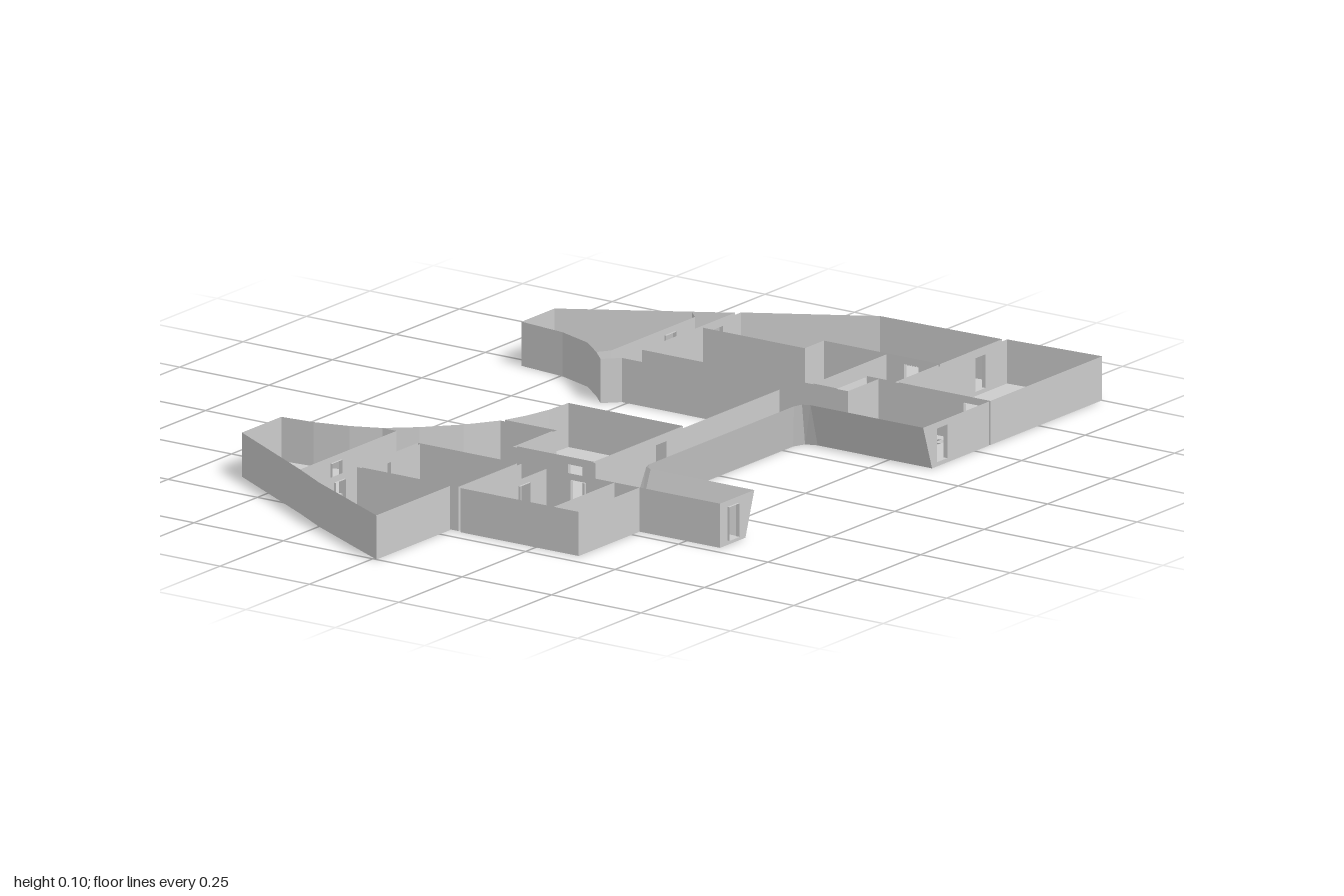
import * as THREE from 'three';
import { mergeGeometries } from 'three/addons/utils/BufferGeometryUtils.js';

const H = 0.105;                        // wall height
const DOOR = { w: 0.04, y0: 0.01, y1: 0.09 };
// door centres on plan (x, z, 1 = passage runs along x)
const doors = [
  [-0.61, -0.245, 0], [-0.78, -0.25, 0], [-0.66, -0.345, 0], [-0.11, 0.17, 0],
  [-0.367, 0.12, 1], [-0.56, 0.11, 0], [-0.47, 0.2, 1], [-0.42, 0.595, 0],
  [0.62, -0.32, 0], [0.72, -0.26, 0], [0.732, 0.28, 1], [0.88, 0.36, 0],
  [0.557, 0.57, 1], [0.37, 0.62, 0],
];

const material = new THREE.MeshStandardMaterial({
  color: 0xcccccc, flatShading: true, side: THREE.DoubleSide,
});

function add(group, name, geometry) {
  const mesh = new THREE.Mesh(geometry, material);
  mesh.name = name;
  group.add(mesh);
}

const rectPath = (x0, y0, x1, y1) => new THREE.Path(
  [[x0, y0], [x0, y1], [x1, y1], [x1, y0]].map(p => new THREE.Vector2(...p)));

const rect = (x0, z0, x1, z1) => [[x0, z0], [x1, z0], [x1, z1], [x0, z1]];

// floor plate from a plan outline
function floorGeometry(points, hole) {
  const shape = new THREE.Shape(points.map(p => new THREE.Vector2(...p)));
  if (hole) shape.holes.push(rectPath(...hole));
  return new THREE.ShapeGeometry(shape).rotateX(Math.PI / 2);
}

// thin upright panel between two plan points, pierced by any door lying on it
function panel([ax, az], [bx, bz]) {
  const dx = bx - ax, dz = bz - az, len = Math.hypot(dx, dz);
  const shape = new THREE.Shape(rectPath(0, 0, len, H).getPoints());
  for (const [x, z] of doors) {
    const along = ((x - ax) * dx + (z - az) * dz) / len;
    const off = Math.abs((x - ax) * dz - (z - az) * dx) / len;
    if (off < 0.012 && along > 0.025 && along < len - 0.025)
      shape.holes.push(rectPath(along - DOOR.w / 2, DOOR.y0, along + DOOR.w / 2, DOOR.y1));
  }
  return new THREE.ShapeGeometry(shape).rotateY(-Math.atan2(dz, dx)).translate(ax, 0, az);
}

function wallGeometry(points, closed) {
  const path = closed ? [...points, points[0]] : points;
  return mergeGeometries(path.slice(1).map((p, i) => panel(path[i], p)));
}

function addRoom(group, name, points, closed = true) {
  const room = new THREE.Group();
  room.name = name;
  add(room, name + 'Floor', floorGeometry(points));
  add(room, name + 'Walls', wallGeometry(points, closed));
  group.add(room);
}

// leaning wall between a bottom path and a top path
function leaningWall(bottom, top) {
  const pos = [], index = [];
  bottom.forEach(([x, z], i) => {
    pos.push(x, 0, z, top[i][0], H, top[i][1]);
    if (i) {
      const a = 2 * i - 2;
      index.push(a, a + 2, a + 1, a + 1, a + 2, a + 3);
    }
  });
  const g = new THREE.BufferGeometry();
  g.setAttribute('position', new THREE.Float32BufferAttribute(pos, 3));
  g.setIndex(index);
  g.computeVertexNormals();
  return g;
}

export function createModel() {
  const model = new THREE.Group();
  model.name = 'floorPlan';

  // right-hand side (-x) rooms
  addRoom(model, 'curvedWingRoom', [[-0.80, -0.345], [-0.635, -0.625], [-0.48, -0.625],
    [-0.472, -0.54], [-0.45, -0.455], [-0.42, -0.385], [-0.42, -0.345]], false);
  addRoom(model, 'triangularRoom', [[-0.86, -0.25], [-0.71, -0.25], [-0.71, 0.01], [-1, 0.01]]);
  addRoom(model, 'squareRoom', rect(-0.705, -0.24, -0.475, 0.03));
  addRoom(model, 'centralRoom', [[-0.362, -0.05], [-0.205, -0.05], [-0.205, -0.195],
    [-0.15, -0.175], [-0.08, -0.16], [-0.01, -0.155], [-0.01, 0.165], [-0.362, 0.165]]);
  addRoom(model, 'sideRoom', rect(-0.71, 0.04, -0.47, 0.37));
  add(model, 'sideRoomPartitions', mergeGeometries([
    panel([-0.71, 0.11], [-0.47, 0.11]), panel([-0.71, 0.30], [-0.47, 0.30])]));

  // left-hand side (+x) rooms
  addRoom(model, 'backWingRoom', [[0.36, -0.34], [0.41, -0.40], [0.445, -0.495], [0.46, -0.62],
    [0.59, -0.62], [0.75, -0.35], [0.72, -0.32], [0.39, -0.32]].slice(), false);
  addRoom(model, 'outerRoom', [[0.66, -0.255], [0.81, -0.255], [0.97, 0.02], [0.98, 0.355],
    [0.735, 0.355], [0.735, 0.03], [0.66, 0.03]]);
  addRoom(model, 'innerRoom', [[0.44, 0.21], [0.728, 0.21], [0.728, 0.355], [0.56, 0.355],
    [0.56, 0.275], [0.44, 0.275]]);
  addRoom(model, 'frontRoom', [[0.56, 0.365], [0.985, 0.365], [1, 0.62], [0.56, 0.62]]);

  // continuous hall joining both sides
  const hallWall = [[-0.37, 0.595], [-0.47, 0.595], [-0.47, -0.25], [-0.86, -0.25],
    [-0.80, -0.345], [-0.42, -0.345], [-0.42, -0.385], [-0.365, -0.32], [-0.29, -0.25],
    [-0.215, -0.2], [-0.215, -0.055], [-0.37, -0.055], [-0.37, 0.175], [0.355, 0.175],
    [0.355, -0.265], [0.32, -0.30], [0.36, -0.34], [0.39, -0.32], [0.72, -0.32],
    [0.75, -0.35], [0.80, -0.265], [0.435, -0.265], [0.435, 0.31], [0.555, 0.31],
    [0.555, 0.62], [0.33, 0.62]];
  const courtBottom = [[0.33, 0.30], [0.32, 0.272], [0.29, 0.26],
    [-0.33, 0.26], [-0.36, 0.272], [-0.37, 0.30]];
  const courtTop = [[0.295, 0.305], [0.287, 0.287], [0.265, 0.28],
    [-0.305, 0.28], [-0.327, 0.287], [-0.335, 0.305]];
  add(model, 'hallFloor', floorGeometry([...hallWall, ...courtBottom], [0.47, 0.42, 0.53, 0.52]));
  add(model, 'hallWalls', wallGeometry(hallWall, false));

  // leaning courtyard wall, closed by a triangle at each front end
  const r = [0.33, 0.62], l = [-0.37, 0.595];
  add(model, 'courtyardWall', leaningWall([r, r, ...courtBottom, l, l],
    [r, [0.295, 0.62], ...courtTop, [-0.335, 0.595], l]));

  // sloped panel in the hall recess
  add(model, 'recessSlope', leaningWall([[0.44, 0.305], [0.55, 0.305]], [[0.44, 0.278], [0.55, 0.278]]));

  // short sleeves lining the doorways
  const sleeve = new THREE.CylinderGeometry(Math.SQRT1_2, Math.SQRT1_2, 1, 4, 1, true)
    .rotateY(Math.PI / 4).rotateX(Math.PI / 2).scale(DOOR.w, DOOR.y1 - DOOR.y0, 0.01);
  doors.forEach(([x, z, alongX]) => {
    const g = sleeve.clone();
    if (alongX) g.rotateY(Math.PI / 2);
    add(model, 'doorway', g.translate(x, (DOOR.y0 + DOOR.y1) / 2, Math.min(z, 0.615)));
  });
  return model;
}
